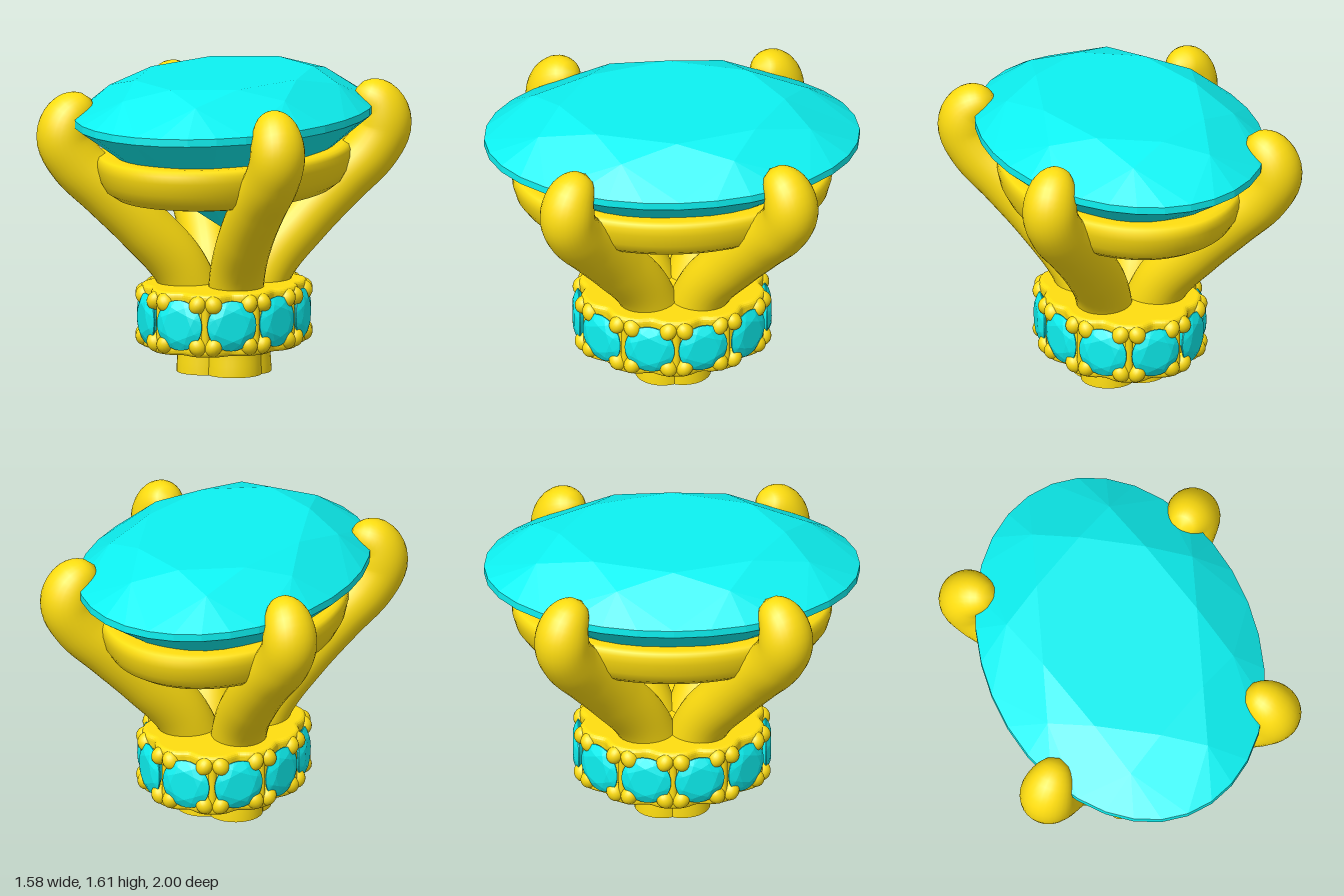
import * as THREE from 'three';
import { mergeVertices } from 'three/addons/utils/BufferGeometryUtils.js';

const gold = new THREE.MeshStandardMaterial({ color: 0xffde10 });
const gemMat = new THREE.MeshStandardMaterial({ color: 0x0df2f2, flatShading: true });

function add(parent, name, geometry, material = gold) {
  const mesh = new THREE.Mesh(geometry, material);
  mesh.name = name;
  parent.add(mesh);
  return mesh;
}

// Round brilliant cut of radius 1, girdle top at y = 0, table facing +y
function brilliantGeometry() {
  const pos = [];
  const tri = (...pts) => pts.forEach((p) => pos.push(...p));
  const at = (r, y, step) => {
    const a = (step / 32) * Math.PI * 2;
    return [r * Math.sin(a), y, r * Math.cos(a)];
  };
  const table = (s) => at(0.6, 0.195, s);
  const crown = (s) => at(0.785, 0.134, s);
  const girdle = (s) => at(1, 0, s);
  const lower = (s) => at(1, -0.04, s);
  const pavilion = (s) => at(0.4, -0.42, s);
  const culet = [0, -0.645, 0];
  for (let s = 0; s < 32; s += 4) {
    const mid = s + 2;
    tri([0, 0.195, 0], table(s), table(s + 4));
    tri(table(s), crown(mid), table(s + 4));
    tri(table(s), crown(s - 2), girdle(s));
    tri(table(s), girdle(s), crown(mid));
    tri(culet, pavilion(mid), lower(s));
    tri(culet, lower(s), pavilion(s - 2));
    for (let i = s; i < s + 4; i++) {
      tri(crown(mid), girdle(i), girdle(i + 1));
      tri(lower(i), lower(i + 1), girdle(i + 1));
      tri(lower(i), girdle(i + 1), girdle(i));
      tri(pavilion(mid), lower(i + 1), lower(i));
    }
  }
  const g = new THREE.BufferGeometry();
  g.setAttribute('position', new THREE.Float32BufferAttribute(pos, 3));
  g.computeVertexNormals();
  return g;
}

// Claw prong: tube with a domed end that bends inward to a point
function prongGeometry(sx, sz) {
  const path = [
    [0.09, 0, 0.055], [0.09, 0.2, 0.055], [0.17, 0.56, 0.165], [0.31, 0.8, 0.32],
    [0.46, 1.0, 0.455], [0.59, 1.16, 0.555], [0.645, 1.29, 0.595],
    [0.625, 1.4, 0.575], [0.535, 1.495, 0.49],
  ].map(([x, y, z]) => new THREE.Vector3(x * sx, y, z * sz));
  const curve = new THREE.CatmullRomCurve3(path);
  const segs = 72, sides = 28, domeStart = 0.85;
  let g = new THREE.TubeGeometry(curve, segs, 0.147, sides, false);
  const p = g.attributes.position;
  const v = new THREE.Vector3();
  for (let i = 0; i <= segs; i++) {
    const u = i / segs;
    const c = curve.getPointAt(u);
    const t = Math.max(0, (u - domeStart) / (1 - domeStart));
    const k = Math.sqrt(Math.max(0, 1 - t * t));
    for (let j = 0; j <= sides; j++) {
      const n = i * (sides + 1) + j;
      v.fromBufferAttribute(p, n).sub(c).multiplyScalar(k).add(c);
      p.setXYZ(n, v.x, v.y, v.z);
    }
  }
  g.deleteAttribute('uv');
  g.deleteAttribute('normal');
  g = mergeVertices(g, 1e-5);
  g.computeVertexNormals();
  return g;
}

// Oval path starting at the front, sampled by arc length
const oval = (a, b) => new THREE.EllipseCurve(0, 0, a, b, Math.PI / 2, Math.PI * 2.5);

// Rim plate, notched at each small gem
function rimGeometry() {
  const curve = oval(0.395, 0.48);
  const pts = [];
  for (let i = 0; i < 160; i++) {
    const u = i / 160;
    const notch = Math.pow(0.5 + 0.5 * Math.cos(u * 20 * Math.PI), 2);
    pts.push(curve.getPointAt(u).multiplyScalar(1 - 0.08 * notch));
  }
  const g = new THREE.ExtrudeGeometry(new THREE.Shape(pts), {
    depth: 0.03, bevelEnabled: true, bevelThickness: 0.025, bevelSize: 0.025, bevelSegments: 4,
  });
  return g.rotateX(-Math.PI / 2);
}

// Station on the band: a group whose +z points outward
function station(parent, name, curve, u, a, b) {
  const p = curve.getPointAt(u);
  const g = new THREE.Group();
  g.name = name;
  g.position.set(p.x, 0.32, p.y);
  g.rotation.y = Math.atan2(p.x / (a * a), p.y / (b * b));
  parent.add(g);
  return g;
}

export function createModel() {
  const model = new THREE.Group();
  const cut = brilliantGeometry();

  // Large oval stone
  const stone = add(model, 'centreStone', cut, gemMat);
  stone.scale.set(0.73, 1, 1);
  stone.position.y = 1.41;

  // Gallery ring hugging the stone
  const profile = [
    [0.62, 1.2], [0.575, 1.15], [0.55, 1.08], [0.56, 1.01], [0.6, 0.975], [0.66, 0.967],
    [0.73, 0.98], [0.79, 1.015], [0.83, 1.07], [0.85, 1.14], [0.85, 1.18], [0.835, 1.203],
    [0.8, 1.21], [0.7, 1.21], [0.62, 1.2],
  ].map(([r, y]) => new THREE.Vector2(r, y));
  add(model, 'galleryRing', new THREE.LatheGeometry(profile, 96).scale(0.73, 1, 1));

  // Four claw prongs, whose feet join into the stem
  for (const sx of [-1, 1]) for (const sz of [-1, 1]) {
    add(model, 'prong', prongGeometry(sx, sz));
    const foot = add(model, 'prongFoot', new THREE.CircleGeometry(0.147, 28).rotateX(Math.PI / 2));
    foot.position.set(0.09 * sx, 0, 0.055 * sz);
  }

  // Band: core and two notched rims
  const band = new THREE.Group();
  band.name = 'band';
  model.add(band);
  const core = add(band, 'bandCore', new THREE.CylinderGeometry(1, 1, 0.26, 64));
  core.scale.set(0.36, 1, 0.44);
  core.position.y = 0.32;
  const rim = rimGeometry();
  add(band, 'upperRim', rim).position.y = 0.435;
  add(band, 'lowerRim', rim).position.y = 0.175;

  // Ten small stones with paired petal claws between them
  const stonePath = oval(0.415, 0.5), clawPath = oval(0.4, 0.485);
  const petal = new THREE.SphereGeometry(1, 20, 14);
  const post = new THREE.CylinderGeometry(0.022, 0.022, 0.24, 12);
  for (let i = 0; i < 10; i++) {
    const seat = station(band, 'bandSeat', stonePath, i / 10, 0.415, 0.5);
    const small = add(seat, 'bandStone', cut, gemMat);
    small.scale.setScalar(0.135);
    small.rotation.x = Math.PI / 2;

    const claws = station(band, 'bandClaws', clawPath, (i + 0.5) / 10, 0.4, 0.485);
    add(claws, 'clawPost', post);
    for (const side of [-1, 1]) for (const up of [-1, 1]) {
      const tip = add(claws, 'petalClaw', petal);
      tip.position.set(0.043 * side, 0.112 * up, 0);
      tip.scale.set(0.046, 0.053, 0.05);
      tip.rotation.z = 0.5 * side * up;
    }
  }
  return model;
}
